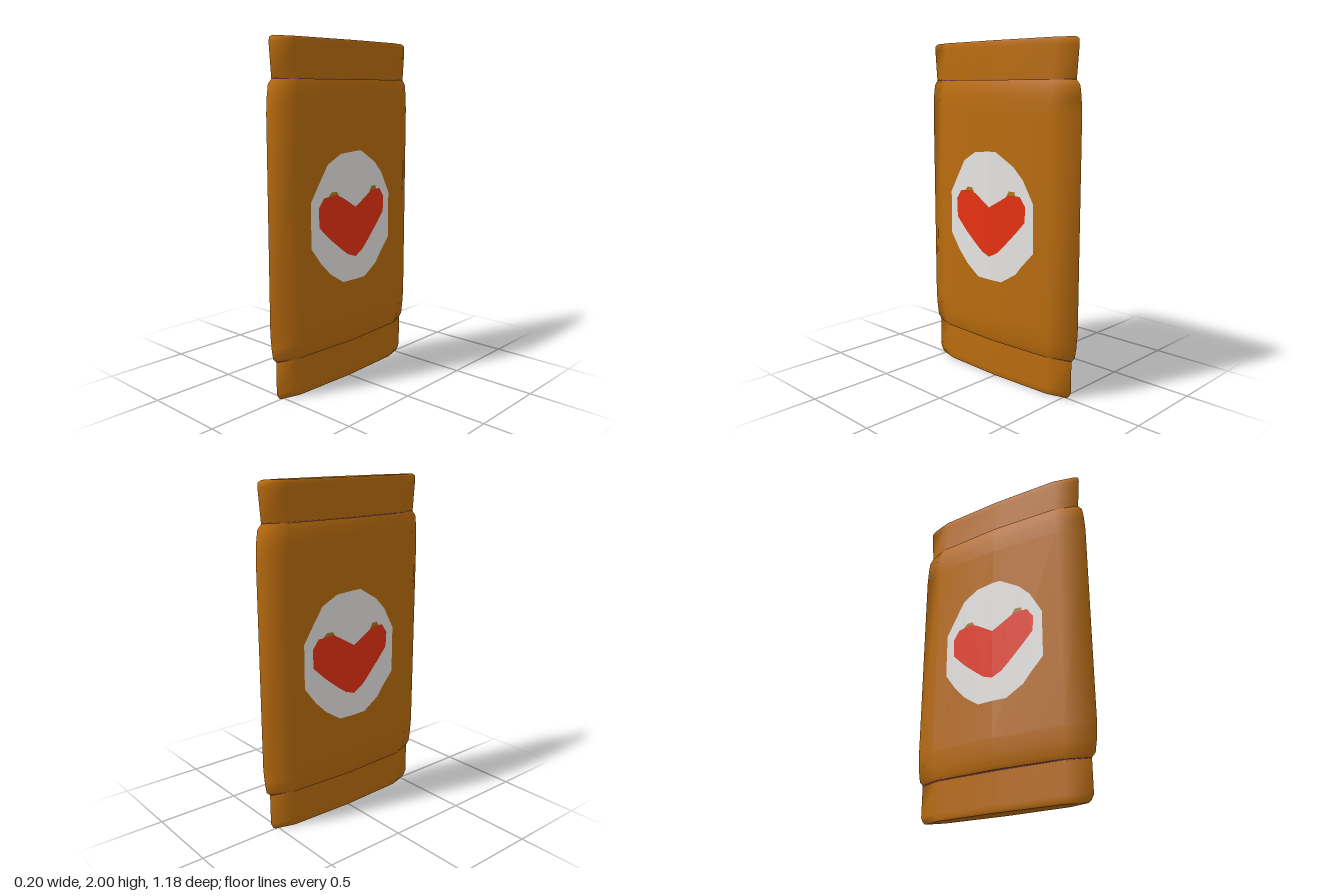
import * as THREE from 'three';

const mat = (name, color, side = THREE.FrontSide) =>
  Object.assign(new THREE.MeshStandardMaterial({ color, side }), { name });

// Eight-sided pillow section: ridge at z = 0, shoulder at z1, pointed edge at zt
const section = ([y, x0, x1, z1, zt]) => [
  [0, y, zt], [x1, y, z1], [x0, y, 0], [x1, y, -z1],
  [0, y, -zt], [-x1, y, -z1], [-x0, y, 0], [-x1, y, z1],
];

// Smooth skin through the rings, with flat caps of their own vertices
function loft(rings) {
  const n = 8, pos = [], idx = [];
  rings.forEach(r => pos.push(...section(r).flat()));
  for (let k = 0; k < rings.length - 1; k++) {
    for (let i = 0; i < n; i++) {
      const a = k * n + i, b = k * n + (i + 1) % n;
      idx.push(a, b, b + n, a, b + n, a + n);
    }
  }
  [rings[0], rings[rings.length - 1]].forEach((r, top) => {
    const base = pos.length / 3;
    pos.push(0, r[0], 0, ...section(r).flat());
    for (let i = 0; i < n; i++) {
      const a = base + 1 + i, b = base + 1 + (i + 1) % n;
      idx.push(base, ...(top ? [a, b] : [b, a]));
    }
  });
  const g = new THREE.BufferGeometry();
  g.setAttribute('position', new THREE.Float32BufferAttribute(pos, 3));
  g.setIndex(idx);
  g.computeVertexNormals();
  return g;
}

// Flat painted face from [z, y] points, laid on the sloping side of the packet
function decal(points, lift) {
  const g = new THREE.ShapeGeometry(new THREE.Shape(points.map(([z, y]) => new THREE.Vector2(-z, y))));
  g.rotateY(Math.PI / 2);
  const p = g.attributes.position;
  for (let i = 0; i < p.count; i++) p.setX(i, 0.095 - 0.058 * Math.abs(p.getZ(i)) + lift);
  g.computeVertexNormals();
  return g;
}

export function createModel() {
  const group = new THREE.Group();
  const wrapper = mat('caramel wrapper', 0xba6c0e);
  const white = mat('white label', 0xe8e6e4);
  const red = mat('red heart', 0xea3212);
  const gold = mat('dark gold', 0xa87c18);
  const purple = mat('purple seam', 0x8a4fa0);
  const add = (parent, name, geometry, material) => {
    const m = new THREE.Mesh(geometry, material);
    m.name = name;
    parent.add(m);
  };

  // Padded middle of the packet
  add(group, 'body', loft([
    [0.228, 0.072, 0.052, 0.41, 0.55],
    [0.25, 0.083, 0.06, 0.42, 0.572],
    [0.31, 0.092, 0.067, 0.43, 0.582],
    [0.4, 0.095, 0.07, 0.43, 0.59],
    [1.6, 0.095, 0.07, 0.43, 0.59],
    [1.69, 0.094, 0.069, 0.43, 0.584],
    [1.75, 0.084, 0.06, 0.42, 0.575],
    [1.78, 0.072, 0.052, 0.41, 0.55],
  ]), wrapper);

  // Thinner sealed ends
  add(group, 'bottomSeal', loft([
    [0, 0.05, 0.036, 0.4, 0.52],
    [0.012, 0.056, 0.042, 0.41, 0.535],
    [0.04, 0.057, 0.043, 0.41, 0.55],
    [0.24, 0.057, 0.043, 0.41, 0.55],
  ]), wrapper);
  add(group, 'topSeal', loft([
    [1.77, 0.057, 0.043, 0.41, 0.55],
    [1.96, 0.057, 0.043, 0.42, 0.565],
    [1.988, 0.056, 0.042, 0.42, 0.562],
    [2, 0.05, 0.036, 0.41, 0.54],
  ]), wrapper);

  // Fine seam lines where the seals meet the body
  for (const [name, y] of [['bottomSeam', 0.225], ['topSeam', 1.778]]) {
    add(group, name, loft([
      [y, 0.06, 0.046, 0.41, 0.55], [y + 0.004, 0.06, 0.046, 0.41, 0.55],
    ]), purple);
  }

  // Emblem halves, split along the ridge at z = 0
  const discs = [
    [[0, 0.615], [0.1, 0.615], [0.2, 0.68], [0.27, 0.75], [0.345, 0.85],
      [0.345, 1.11], [0.29, 1.2], [0.22, 1.31], [0.12, 1.365], [0, 1.375]],
    [[0, 0.615], [-0.09, 0.615], [-0.2, 0.68], [-0.24, 0.73], [-0.325, 0.82],
      [-0.325, 1.1], [-0.25, 1.23], [-0.18, 1.3], [-0.05, 1.375], [0, 1.375]],
  ];
  const hearts = [
    [[0, 0.755], [0.06, 0.775], [0.11, 0.81], [0.2, 0.88], [0.285, 0.96],
      [0.29, 1.07], [0.25, 1.125], [0.15, 1.135], [0.1, 1.11], [0, 1.05]],
    [[0, 0.755], [-0.06, 0.785], [-0.1, 0.82], [-0.2, 0.92], [-0.265, 0.99],
      [-0.27, 1.08], [-0.23, 1.135], [-0.15, 1.135], [-0.09, 1.1], [0, 1.05]],
  ];
  const flecks = [
    [[0.22, 1.125], [0.13, 1.12], [0.15, 1.153], [0.19, 1.153]],
    [[-0.2, 1.13], [-0.13, 1.125], [-0.15, 1.158], [-0.19, 1.158]],
  ];
  for (const [side, turn] of [['left', 0], ['right', Math.PI]]) {
    const emblem = new THREE.Group();
    emblem.name = side + 'Emblem';
    emblem.rotation.y = turn;
    discs.forEach(p => add(emblem, 'labelDisc', decal(p, 0.002), white));
    flecks.forEach(p => add(emblem, 'heartFleck', decal(p, 0.003), gold));
    hearts.forEach(p => add(emblem, 'heart', decal(p, 0.004), red));
    group.add(emblem);
  }
  return group;
}
